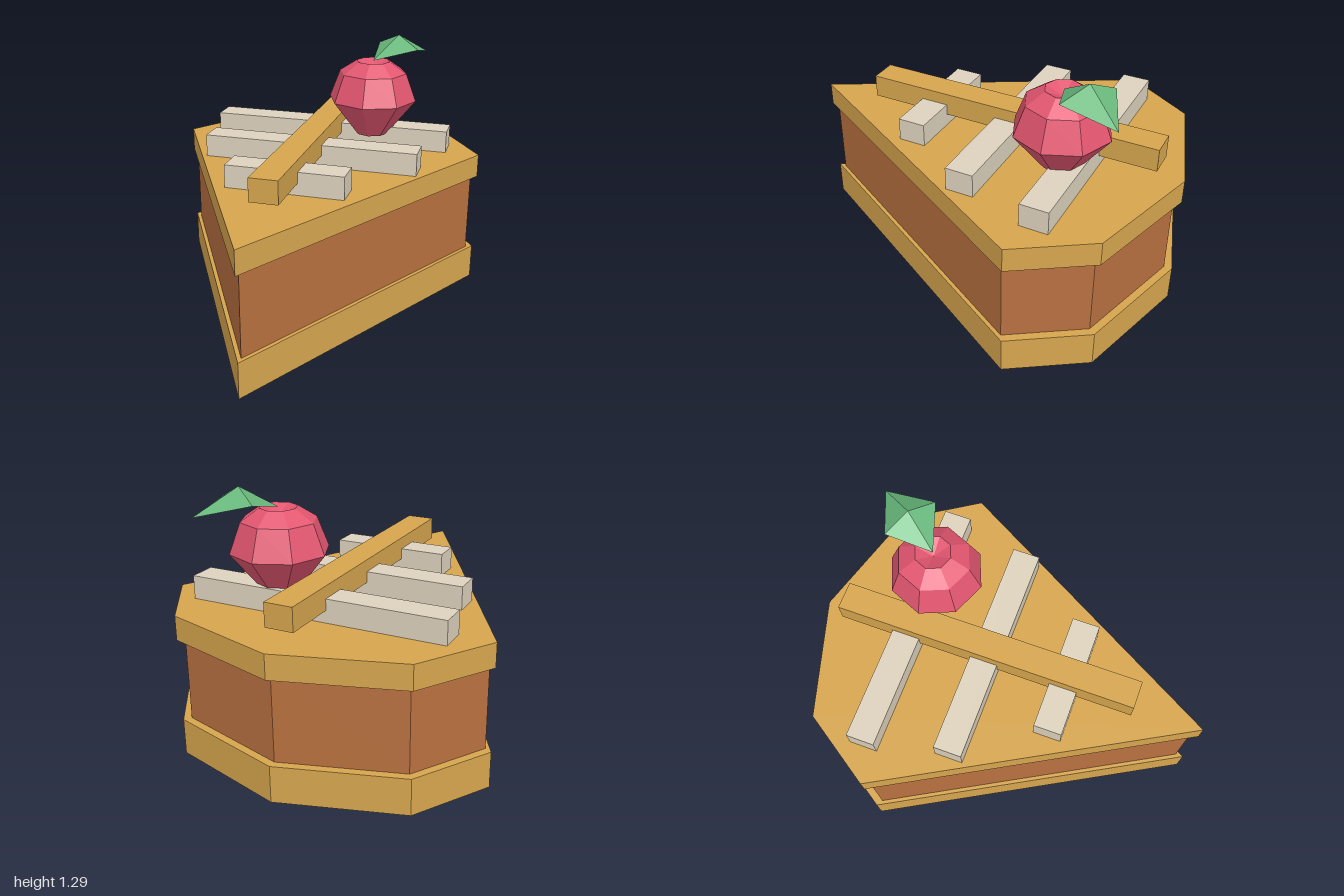
import * as THREE from 'three';

const paint = (color, side = THREE.FrontSide) =>
  new THREE.MeshStandardMaterial({ color, flatShading: true, side });

export function createModel() {
  const model = new THREE.Group();
  model.name = 'cakeSlice';
  const crust = paint(0xd6a54e);
  const filling = paint(0xb87040);
  const cream = paint(0xddd2bd);
  const red = paint(0xe25670);
  const green = paint(0x68b87c, THREE.DoubleSide);

  const add = (name, geometry, material, x = 0, y = 0, z = 0) => {
    const mesh = new THREE.Mesh(geometry, material);
    mesh.name = name;
    mesh.position.set(x, y, z);
    model.add(mesh);
    return mesh;
  };

  // Wedge layers: pointed front, three-cornered back
  const outline = [[0, -1], [0.82, 0.47], [0.59, 0.825], [0, 1], [-0.59, 0.825], [-0.82, 0.47]];
  const layer = (name, material, bottom, top, scale) => {
    const shape = new THREE.Shape(outline.map(([x, y]) => new THREE.Vector2(x * scale, y * scale)));
    const geometry = new THREE.ExtrudeGeometry(shape, { depth: top - bottom, bevelEnabled: false });
    geometry.rotateX(-Math.PI / 2);
    add(name, geometry, material, 0, bottom, 0);
  };
  layer('bottomCrust', crust, 0, 0.18, 1);
  layer('filling', filling, 0.18, 0.59, 0.96);
  layer('topCrust', crust, 0.59, 0.71, 1);

  // Lattice: three cream strips under one long crust strip
  [[-0.53, 1.29], [-0.12, 1.115], [0.29, 0.59]].forEach(([z, width], i) =>
    add(`creamStrip${i + 1}`, new THREE.BoxGeometry(width, 0.115, 0.14), cream, 0, 0.7675, z));
  add('longStrip', new THREE.BoxGeometry(0.14, 0.115, 1.525), crust, 0, 0.8275, -0.12);

  // Cherry: faceted ball with a dimple on top
  const profile = [[0, 0.785], [0.085, 0.785], [0.235, 0.975], [0.18, 1.12], [0.09, 1.18], [0, 1.14]]
    .map(([r, y]) => new THREE.Vector2(r, y));
  add('cherry', new THREE.LatheGeometry(profile, 8), red, 0.235, 0, -0.475);

  // Leaf: four facets around a raised middle
  const leaf = new THREE.BufferGeometry();
  leaf.setAttribute('position', new THREE.Float32BufferAttribute([
    0.34, 1.295, -0.63, // middle
    0.235, 1.18, -0.475, // base
    0.46, 1.235, -0.545,
    0.465, 1.18, -0.81, // tip
    0.22, 1.235, -0.705,
  ], 3));
  leaf.setIndex([0, 1, 2, 0, 2, 3, 0, 3, 4, 0, 4, 1]);
  leaf.computeVertexNormals();
  add('leaf', leaf, green);

  return model;
}
